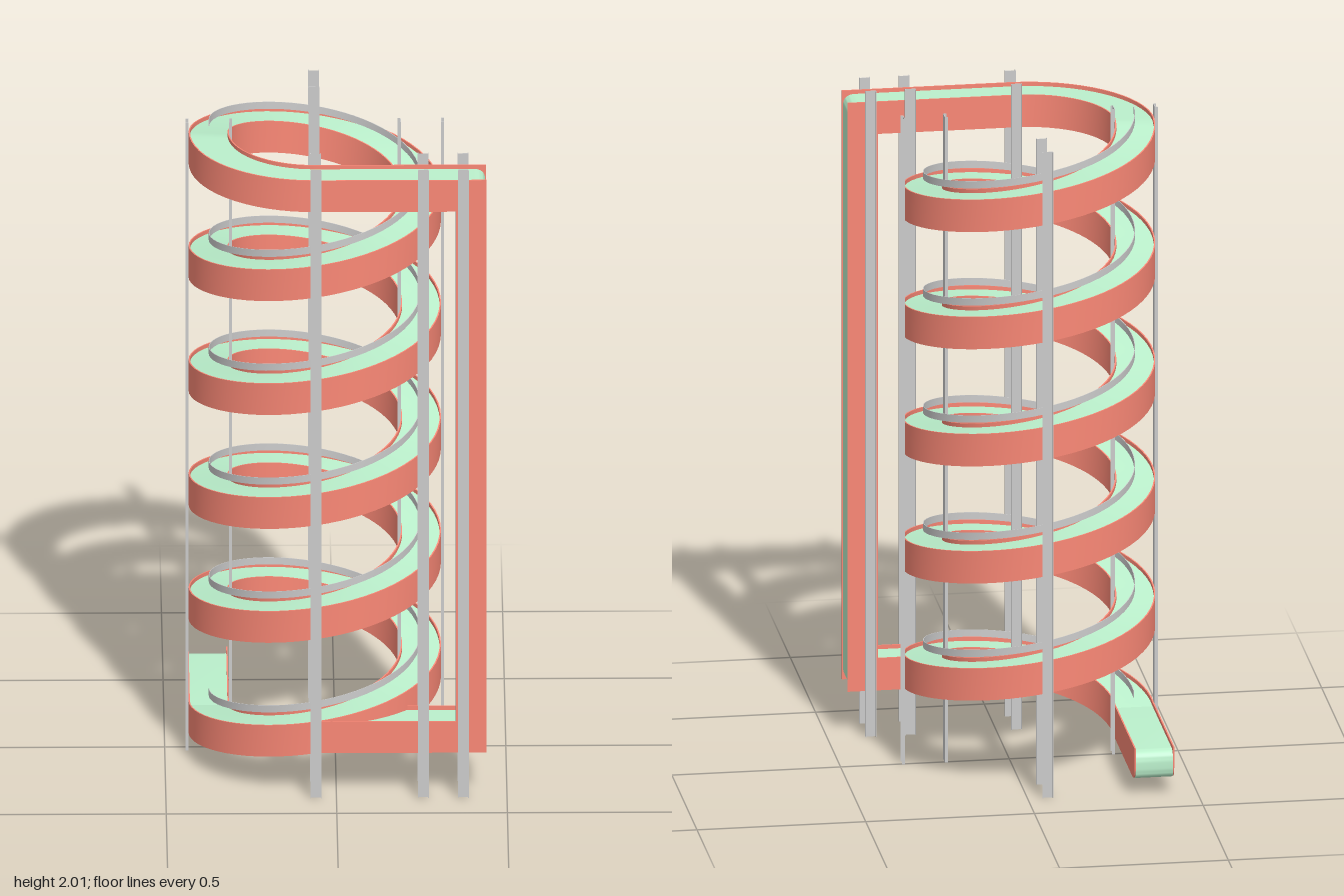
import * as THREE from 'three';
import { toCreasedNormals } from 'three/addons/utils/BufferGeometryUtils.js';

const CX = -0.06, CZ = 0.01;           // spiral axis
const R_IN = 0.252, R_OUT = 0.37, WALL = 0.004;
const Y0 = 0.05, PITCH = 0.363, TURNS = 5, H = 0.1;
const BELT = 0.088, FLOOR = 0.02;      // heights within the channel

const red = new THREE.MeshStandardMaterial({ color: 0xfa8876 });
const green = new THREE.MeshStandardMaterial({ color: 0xbbf0cc });
const grey = new THREE.MeshStandardMaterial({ color: 0xcccccc });

// Rectangle r0..r1 by h0..h1 swept up the spiral; it runs level after the last turn
function spiral(r0, r1, h0, h1, turns) {
  const n = Math.round(turns * 64), pos = [], idx = [];
  const corners = [[r0, h0], [r1, h0], [r1, h1], [r0, h1]];
  const put = ([r, h], i) => {
    const t = (i / n) * turns, a = t * Math.PI * 2;
    pos.push(CX - r * Math.cos(a), Y0 + PITCH * Math.min(t, TURNS) + h, CZ + r * Math.sin(a));
  };
  corners.forEach((p, k) => {
    const q = corners[(k + 1) % 4], base = pos.length / 3;
    for (let i = 0; i <= n; i++) { put(p, i); put(q, i); }
    for (let i = 0; i < n; i++) {
      const a = base + i * 2;
      idx.push(a, a + 2, a + 3, a, a + 3, a + 1);
    }
  });
  for (const i of [0, n]) {
    const b = pos.length / 3;
    corners.forEach(c => put(c, i));
    idx.push(...(i ? [b, b + 2, b + 1, b, b + 3, b + 2] : [b, b + 1, b + 2, b, b + 2, b + 3]));
  }
  const g = new THREE.BufferGeometry();
  g.setAttribute('position', new THREE.Float32BufferAttribute(pos, 3));
  g.setIndex(idx);
  g.computeVertexNormals();
  return g;
}

// Plate from [x, y, cornerRadius] points, extruded from z0 to z1
function plate(pts, z0, z1) {
  const shape = new THREE.Shape(), n = pts.length;
  const toward = (p, q, r) => {
    const d = Math.hypot(q[0] - p[0], q[1] - p[1]);
    return [p[0] + (q[0] - p[0]) * r / d, p[1] + (q[1] - p[1]) * r / d];
  };
  pts.forEach((p, i) => {
    const r = p[2] || 0;
    const a = toward(p, pts[(i + n - 1) % n], r), b = toward(p, pts[(i + 1) % n], r);
    if (i) shape.lineTo(...a); else shape.moveTo(...a);
    if (r) shape.quadraticCurveTo(p[0], p[1], ...b);
  });
  const g = new THREE.ExtrudeGeometry(shape, { depth: z1 - z0, bevelEnabled: false, curveSegments: 8 });
  return toCreasedNormals(g.translate(0, 0, z0), 0.6);
}

const rect = (x0, x1, y0, y1) => [[x0, y0], [x1, y0], [x1, y1], [x0, y1]];

export function createModel() {
  const model = new THREE.Group();
  const add = (parent, name, geometry, material) => {
    const m = new THREE.Mesh(geometry, material);
    m.name = name;
    parent.add(m);
    return m;
  };
  const group = name => {
    const g = new THREE.Group();
    g.name = name;
    model.add(g);
    return g;
  };

  // Spiral channel, ending in a level quarter turn
  const sp = group('spiralConveyor'), all = TURNS + 0.25;
  add(sp, 'spiralOuterWall', spiral(R_OUT - WALL, R_OUT, 0, H, all), red);
  add(sp, 'spiralInnerWall', spiral(R_IN, R_IN + WALL, 0, H, all), red);
  add(sp, 'spiralBelt', spiral(R_IN + WALL, R_OUT - WALL, FLOOR, BELT, all), green);
  add(sp, 'spiralFloor', spiral(R_IN + WALL, R_OUT - WALL, 0, FLOOR, all), grey);
  add(sp, 'guideRail', spiral(0.309, 0.311, 0.118, 0.14, TURNS), grey);

  // Return run: top straight, vertical drop and bottom straight
  const ret = group('returnConveyor');
  const zi = CZ + R_IN, zo = CZ + R_OUT, X1 = 0.44;
  const yb = Y0 + PITCH / 4, yt = Y0 + PITCH * TURNS, top = yt + H;
  const wall = lowStart => [
    [lowStart, yb], [X1, yb], [X1, top], [CX, top], [CX, yt],
    [X1 - 0.09, yt], [X1 - 0.09, yb + H], [lowStart, yb + H]];
  add(ret, 'returnFrontWall', plate(wall(CX), zo - WALL, zo), red);
  add(ret, 'returnBackWall', plate(wall(0.21), zi, zi + WALL), red);
  const xi = X1 - 0.07;
  add(ret, 'returnBelt', plate([
    [CX, yb + FLOOR], [0.37, yb + FLOOR], [0.38, yb + 0.003], [X1 - 0.003, yb + 0.003, 0.035],
    [X1 - 0.003, yt + BELT, 0.035], [CX, yt + BELT], [CX, yt + FLOOR],
    [xi, yt + FLOOR], [xi, yb + BELT], [CX, yb + BELT]], zi + WALL, zo - WALL), green);
  const floors = [
    ['topFloor', rect(CX, xi, yt, yt + FLOOR)],
    ['dropBacking', rect(X1 - 0.09, xi, yb + BELT, yt)],
    ['bottomFloor', rect(CX, 0.375, yb, yb + FLOOR)]];
  for (const [name, pts] of floors) add(ret, name, plate(pts, zi + WALL, zo - WALL), grey);

  // Level exit at the foot of the spiral, drawn along its length and turned to run to the back
  const exit = group('exitConveyor');
  exit.rotation.y = Math.PI / 2;
  const s0 = -CZ, s1 = 0.395, xl = CX - R_OUT, xr = CX - R_IN;
  const side = [[s0, Y0], [s1, Y0, 0.04], [s1, Y0 + H], [s0, Y0 + H]];
  add(exit, 'exitOuterWall', plate(side, xl, xl + WALL), red);
  add(exit, 'exitInnerWall', plate(side, xr - WALL, xr), red);
  add(exit, 'exitBelt', plate([
    [s0, Y0 + FLOOR], [0.35, Y0 + FLOOR], [0.35, Y0 + 0.001], [0.399, Y0 + 0.001, 0.035],
    [0.399, Y0 + BELT, 0.035], [s0, Y0 + BELT]], xl + WALL, xr - WALL), green);
  add(exit, 'exitFloor', plate(rect(s0, 0.35, Y0, Y0 + FLOOR), xl + WALL, xr - WALL), grey);

  // Channel-section posts: web against the wall, flanges pointing away from it
  const posts = group('supportPosts');
  const W = 0.016, D = 0.009, T = 0.002;
  const section = new THREE.Shape([
    [-W, 0], [W, 0], [W, D], [W - T, D], [W - T, T], [T - W, T], [T - W, D], [-W, D]
  ].map(p => new THREE.Vector2(...p)));
  const postGeo = new THREE.ExtrudeGeometry(section, { depth: 2, bevelEnabled: false });
  postGeo.rotateX(-Math.PI / 2);       // stands up, flanges toward -z
  const post = (x, z, dx, dz) => {
    const p = add(posts, 'supportPost', postGeo, grey);
    p.position.set(x, 0, z);
    p.rotation.y = Math.atan2(-dx, -dz);
  };
  for (const [dx, dz] of [[1, 0], [-1, 0], [0, 1], [0, -1]]) {
    post(CX + dx * R_OUT, CZ + dz * R_OUT, dx, dz);
    post(CX + dx * R_IN, CZ + dz * R_IN, -dx, -dz);
  }
  for (const x of [0.255, 0.372]) {
    post(x, zo, 0, 1);
    post(x, zi, 0, -1);
  }
  return model;
}
